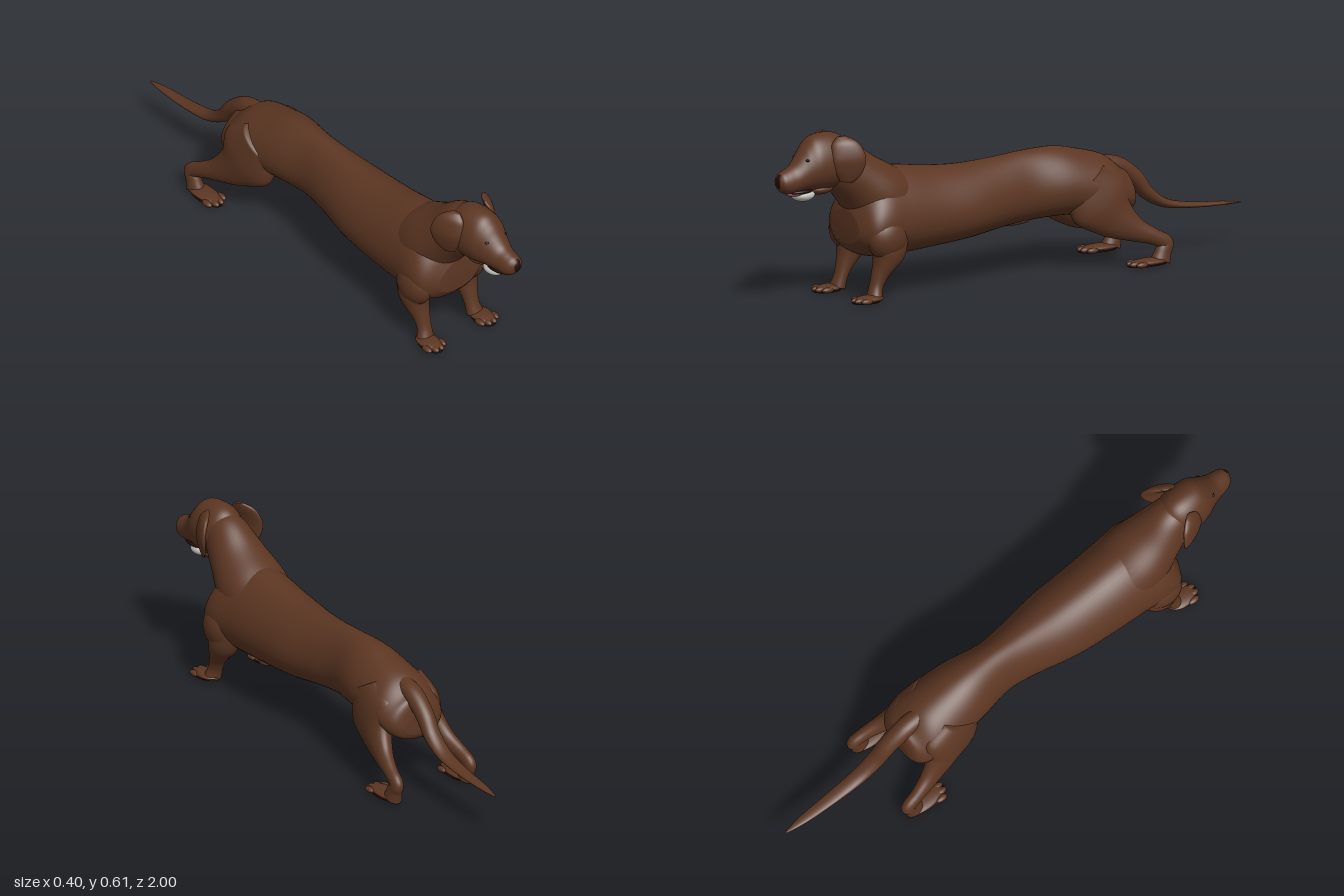
import * as THREE from 'three';

const mat = (name, color, side = THREE.FrontSide) => {
  const m = new THREE.MeshStandardMaterial({ color, side });
  m.name = name;
  return m;
};

// Catmull-Rom blend of one channel of the section rows
const blend = (a, b, c, d, t) =>
  0.5 * (2 * b + (c - a) * t + (2 * a - 5 * b + 4 * c - d) * t * t + (3 * b - a - 3 * c + d) * t * t * t);

// Smooth skin over elliptical sections [x, y, z, halfWidth, halfHeight]
function loft(rows, { upright = false, egg = 0, sides = 32, steps = 6 } = {}) {
  const n = rows.length, rings = [];
  const at = i => rows[Math.max(0, Math.min(n - 1, i))];
  for (let i = 0; i < n - 1; i++) {
    for (let k = 0; k < steps; k++) {
      rings.push(rows[0].map((_, c) => blend(at(i - 1)[c], at(i)[c], at(i + 1)[c], at(i + 2)[c], k / steps)));
    }
  }
  rings.push(rows[n - 1]);
  const pos = [], idx = [], last = rings.length - 1;
  rings.forEach(([x, y, z, w, h], i) => {
    const p = rings[Math.max(0, i - 1)], q = rings[Math.min(last, i + 1)];
    let ty = upright ? 0 : q[1] - p[1], tz = upright ? 1 : q[2] - p[2];
    const len = Math.hypot(ty, tz) || 1;
    ty /= len; tz /= len;
    for (let j = 0; j < sides; j++) {
      const a = j / sides * Math.PI * 2, s = Math.sin(a);
      pos.push(x + w * Math.cos(a) * (1 - egg * s), y + h * s * tz, z - h * s * ty);
      if (i < last) {
        const r = i * sides, j2 = (j + 1) % sides;
        idx.push(r + j, r + j2, r + sides + j, r + j2, r + sides + j2, r + sides + j);
      }
    }
  });
  // end caps
  const first = pos.length / 3;
  pos.push(...rings[0].slice(0, 3), ...rings[last].slice(0, 3));
  for (let j = 0; j < sides; j++) {
    const j2 = (j + 1) % sides, r = last * sides;
    idx.push(first, j2, j, first + 1, r + j, r + j2);
  }
  const g = new THREE.BufferGeometry();
  g.setAttribute('position', new THREE.Float32BufferAttribute(pos, 3));
  g.setIndex(idx);
  g.computeVertexNormals();
  return g;
}

export function createModel() {
  const root = new THREE.Group();
  root.name = 'dog';
  const coat = mat('brown coat', 0x5c3622);
  const dark = mat('dark skin', 0x230a08);
  const white = mat('white teeth', 0xc9c6c0);
  const pink = mat('pink tongue', 0xb9656c);

  const add = (name, geo, material, parent = root) => {
    const m = new THREE.Mesh(geo, material);
    m.name = name;
    parent.add(m);
    return m;
  };
  const blob = (name, material, c, r, parent = root) => {
    const m = add(name, new THREE.SphereGeometry(1, 24, 16), material, parent);
    m.position.set(...c);
    m.scale.set(...r);
    return m;
  };

  // Trunk, rump to chest
  add('body', loft([
    [0.005, 0.235, -0.502, 0.06, 0.035],
    [0.005, 0.255, -0.49, 0.095, 0.075],
    [0.005, 0.265, -0.46, 0.118, 0.085],
    [0.005, 0.29, -0.4, 0.13, 0.105],
    [0.005, 0.307, -0.3, 0.127, 0.118],
    [0.005, 0.32, -0.2, 0.117, 0.125],
    [0.005, 0.318, -0.07, 0.094, 0.127],
    [0.005, 0.308, 0.05, 0.106, 0.128],
    [0.003, 0.295, 0.2, 0.132, 0.135],
    [0, 0.294, 0.35, 0.142, 0.146],
    [0, 0.3, 0.5, 0.15, 0.16],
    [0, 0.296, 0.6, 0.158, 0.153],
    [0, 0.277, 0.66, 0.142, 0.115],
    [0, 0.26, 0.695, 0.085, 0.06]
  ], { upright: true, egg: 0.2, sides: 48 }), coat);
  blob('bellySheath', coat, [0.005, 0.192, -0.03], [0.018, 0.015, 0.07]);
  blob('groin', dark, [0.005, 0.178, -0.36], [0.028, 0.028, 0.04]);

  add('neck', loft([
    [0, 0.3, 0.5, 0.13, 0.14],
    [0, 0.37, 0.58, 0.128, 0.122],
    [0, 0.435, 0.655, 0.106, 0.1],
    [0, 0.5, 0.735, 0.08, 0.092],
    [0, 0.52, 0.78, 0.065, 0.065]
  ], { sides: 40 }), coat);

  // Head with tapering muzzle, turned slightly to its left
  const head = new THREE.Group();
  head.name = 'head';
  root.add(head);
  add('skull', loft([
    [0, 0.515, 0.69, 0.04, 0.05],
    [0, 0.51, 0.73, 0.074, 0.09],
    [0, 0.509, 0.78, 0.085, 0.102],
    [0.003, 0.506, 0.84, 0.079, 0.098],
    [0.006, 0.493, 0.875, 0.065, 0.082],
    [0.009, 0.477, 0.9, 0.055, 0.067],
    [0.012, 0.46, 0.93, 0.046, 0.051],
    [0.014, 0.453, 0.96, 0.041, 0.044],
    [0.016, 0.454, 0.982, 0.033, 0.034],
    [0.017, 0.457, 0.995, 0.018, 0.018]
  ], { upright: true, egg: 0.1, sides: 40 }), coat, head);
  blob('nose', dark, [0.018, 0.456, 0.977], [0.025, 0.031, 0.023], head);
  blob('mouthLining', dark, [0.011, 0.413, 0.9], [0.036, 0.012, 0.058], head);
  blob('tongue', pink, [0.012, 0.408, 0.916], [0.027, 0.012, 0.042], head);
  blob('lowerTeeth', white, [0.008, 0.397, 0.88], [0.038, 0.024, 0.045], head);
  blob('jaw', coat, [0.004, 0.412, 0.81], [0.045, 0.022, 0.055], head);

  for (const s of [1, -1]) {
    const side = s > 0 ? 'left' : 'right';
    blob(side + 'Eye', dark, [0.008 + s * 0.039, 0.527, 0.888], [0.011, 0.005, 0.007], head);

    // Hanging ear, its rear edge flared outward
    const ear = loft([
      [s * 0.068, 0.602, 0.755, 0.008, 0.015],
      [s * 0.084, 0.578, 0.752, 0.017, 0.044],
      [s * 0.1, 0.525, 0.745, 0.015, 0.056],
      [s * 0.096, 0.475, 0.745, 0.012, 0.045],
      [s * 0.088, 0.44, 0.75, 0.007, 0.02]
    ]);
    const p = ear.attributes.position;
    for (let i = 0; i < p.count; i++) p.setX(i, p.getX(i) + s * (0.75 - p.getZ(i)) * 0.4);
    ear.computeVertexNormals();
    add(side + 'Ear', ear, coat, head);

    // Foreleg
    blob(side + 'Shoulder', coat, [s * 0.12, 0.225, 0.595], [0.053, 0.078, 0.078]);
    add(side + 'ForeLeg', loft([
      [s * 0.105, 0.25, 0.575, 0.05, 0.08],
      [s * 0.112, 0.175, 0.585, 0.052, 0.068],
      [s * 0.113, 0.13, 0.603, 0.043, 0.044],
      [s * 0.111, 0.09, 0.622, 0.032, 0.03],
      [s * 0.111, 0.05, 0.637, 0.028, 0.024],
      [s * 0.117, 0.012, 0.648, 0.034, 0.028]
    ]), coat);

    // Hind leg: thigh, hock and metatarsus
    add(side + 'HindLeg', loft([
      [s * 0.08, 0.33, -0.29, 0.045, 0.08],
      [s * 0.088, 0.25, -0.34, 0.058, 0.128],
      [s * 0.105, 0.185, -0.39, 0.048, 0.085],
      [s * 0.128, 0.135, -0.46, 0.034, 0.047],
      [s * 0.147, 0.103, -0.53, 0.025, 0.03],
      [s * 0.155, 0.075, -0.58, 0.023, 0.029],
      [s * 0.155, 0.045, -0.57, 0.025, 0.032],
      [s * 0.155, 0.012, -0.558, 0.03, 0.038]
    ]), coat);

    // Paws: sole, four toes and a dark pad
    for (const [name, x, z, back] of [['ForePaw', 0.123, 0.715, 0.08], ['HindPaw', 0.154, -0.448, 0.13]]) {
      const paw = new THREE.Group();
      paw.name = side + name;
      paw.position.set(s * x, 0, z);
      root.add(paw);
      blob('foot', coat, [0, 0.015, -back / 2], [0.038, 0.013, back / 2 + 0.018], paw);
      for (let i = 0; i < 4; i++) {
        const middle = i === 1 || i === 2;
        blob('toe', coat, [(i - 1.5) * 0.022, 0.0125, middle ? 0.004 : -0.01], [0.0125, 0.0105, 0.024], paw);
      }
      blob('pad', dark, [0, 0.004, -back / 2 + 0.012], [0.037, 0.004, back / 2 + 0.016], paw);
    }
  }

  // Tail, sweeping down and back to a thin tip
  add('tail', loft([
    [0.008, 0.36, -0.39, 0.035, 0.03],
    [0.008, 0.342, -0.47, 0.036, 0.034],
    [0.01, 0.29, -0.545, 0.034, 0.032],
    [0.012, 0.228, -0.6, 0.032, 0.025],
    [0.012, 0.182, -0.68, 0.029, 0.016],
    [0.013, 0.162, -0.8, 0.024, 0.01],
    [0.014, 0.154, -0.92, 0.017, 0.007],
    [0.015, 0.148, -1, 0.004, 0.002]
  ]), coat);

  return root;
}
